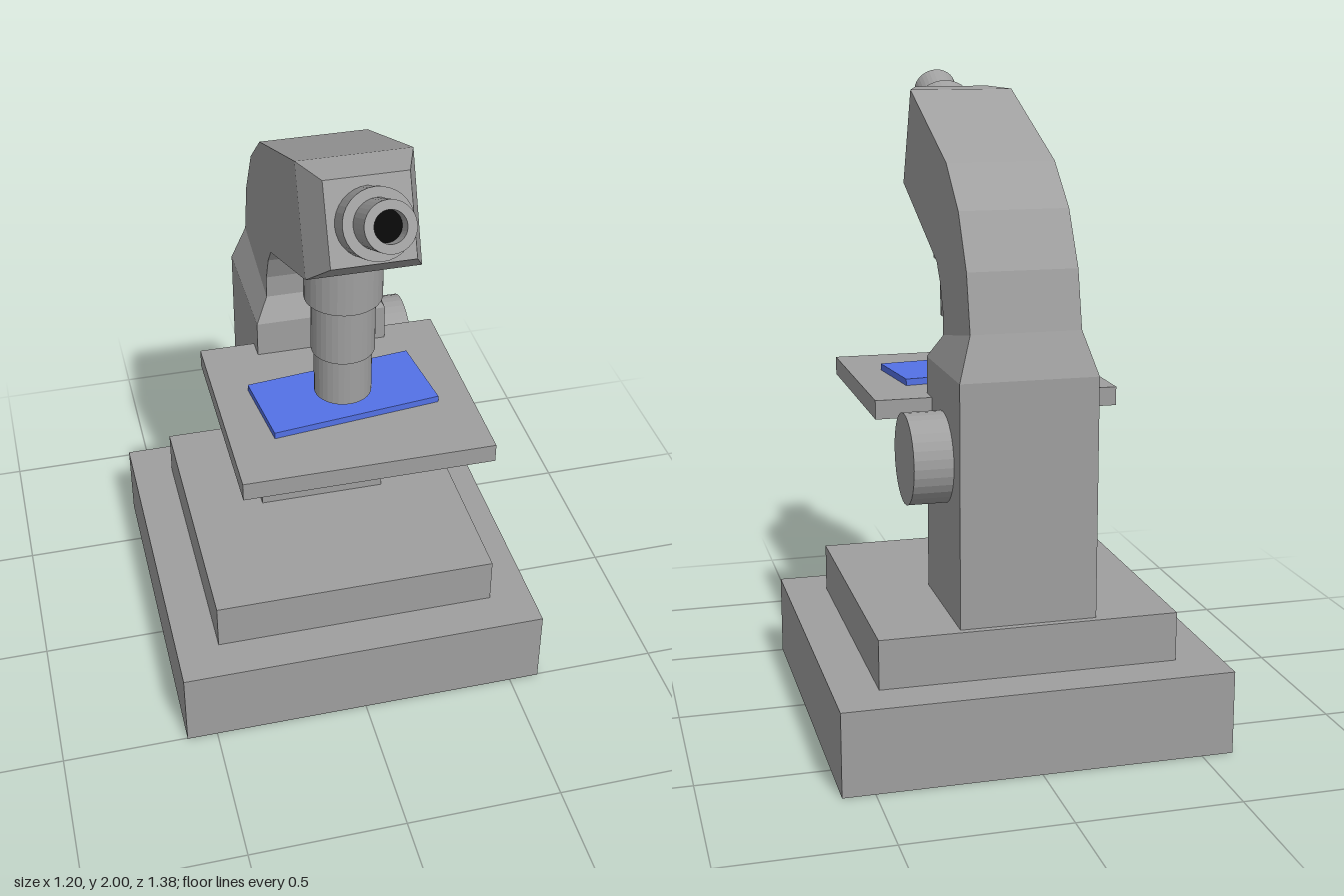
import * as THREE from 'three';

const grey = new THREE.MeshStandardMaterial({ color: 0x9f9f9f, flatShading: true });
const armGrey = new THREE.MeshStandardMaterial({ color: 0x9f9f9f });
const blue = new THREE.MeshStandardMaterial({ color: 0x5371e6, flatShading: true });
const black = new THREE.MeshStandardMaterial({ color: 0x080808 });

function add(parent, name, geometry, x, y, z, material = grey) {
  const mesh = new THREE.Mesh(geometry, material);
  mesh.name = name;
  mesh.position.set(x, y, z);
  parent.add(mesh);
  return mesh;
}

// Box given by its width, its y range and its z range, centred on x = 0
function slab(parent, name, w, y0, y1, z0, z1) {
  return add(parent, name, new THREE.BoxGeometry(w, y1 - y0, z1 - z0), 0, (y0 + y1) / 2, (z0 + z1) / 2);
}

// Upright round tube between two heights
function tube(parent, name, r, y0, y1, z = 0) {
  return add(parent, name, new THREE.CylinderGeometry(r, r, y1 - y0, 32), 0, (y0 + y1) / 2, z);
}

// Rectangular sections [halfWidth, innerZ, innerY, outerZ, outerY] joined into a closed solid,
// with one even normal per four-sided face
function loft(sections) {
  const pos = [];
  const normals = [];
  const quad = (a, b, c, d) => {
    const n = c.clone().sub(a).cross(d.clone().sub(b)).normalize();
    for (const p of [a, b, c, a, c, d]) {
      pos.push(p.x, p.y, p.z);
      normals.push(n.x, n.y, n.z);
    }
  };
  const rings = sections.map(([w, iz, iy, oz, oy]) => [
    new THREE.Vector3(w, iy, iz), new THREE.Vector3(w, oy, oz),
    new THREE.Vector3(-w, oy, oz), new THREE.Vector3(-w, iy, iz),
  ]);
  for (let i = 0; i < rings.length - 1; i++) {
    for (let j = 0; j < 4; j++) {
      const k = (j + 1) % 4;
      quad(rings[i][j], rings[i][k], rings[i + 1][k], rings[i + 1][j]);
    }
  }
  quad(...rings[0].slice().reverse());
  quad(...rings[rings.length - 1]);
  const geometry = new THREE.BufferGeometry();
  geometry.setAttribute('position', new THREE.Float32BufferAttribute(pos, 3));
  geometry.setAttribute('normal', new THREE.Float32BufferAttribute(normals, 3));
  return geometry;
}

export function createModel() {
  const model = new THREE.Group();
  model.name = 'microscope';

  // Stepped foot
  slab(model, 'base', 1.196, 0, 0.26, -0.69, 0.503);
  slab(model, 'baseStep', 0.92, 0.26, 0.413, -0.555, 0.366);

  // Column, curved arm and tapered head in one sweep
  add(model, 'arm', loft([
    [0.21, -0.113, 0.413, -0.533, 0.413],
    [0.21, -0.113, 1.153, -0.533, 1.153],
    [0.168, -0.157, 1.225, -0.49, 1.285],
    [0.168, -0.153, 1.3, -0.448, 1.46],
    [0.168, -0.117, 1.385, -0.353, 1.625],
    [0.168, -0.075, 1.44, -0.205, 1.752],
    [0.168, 0.4, 1.637, 0.28, 1.945],
    [0.122, 0.505, 1.727, 0.41, 1.95],
  ]), 0, 0, 0, armGrey);

  // Tilted eyepiece: sleeve and hollow tube, origin at the viewing end
  const eyepiece = new THREE.Group();
  eyepiece.name = 'eyepiece';
  eyepiece.position.set(0, 1.934, 0.657);
  eyepiece.rotation.x = THREE.MathUtils.degToRad(63);
  model.add(eyepiece);
  tube(eyepiece, 'eyepieceSleeve', 0.1, -0.32, -0.126);
  const profile = [[0, -0.25], [0.071, -0.25], [0.071, 0], [0.045, 0], [0.045, -0.06], [0, -0.06]];
  add(eyepiece, 'eyepieceTube',
    new THREE.LatheGeometry(profile.map(([r, y]) => new THREE.Vector2(r, y)), 32), 0, 0, 0);
  // Dark lens recessed in the tube
  const lens = add(eyepiece, 'eyepieceLens', new THREE.CircleGeometry(0.045, 32), 0, -0.056, 0, black);
  lens.rotation.x = -Math.PI / 2;

  // Objective, narrowing in three steps
  const objective = new THREE.Group();
  objective.name = 'objective';
  model.add(objective);
  tube(objective, 'objectiveUpper', 0.119, 1.415, 1.65, 0.165);
  tube(objective, 'objectiveMiddle', 0.098, 1.227, 1.415, 0.165);
  tube(objective, 'objectiveLower', 0.089, 1.07, 1.227, 0.165);

  // Stage with a slide lying slightly askew
  slab(model, 'stage', 0.772, 0.978, 1.037, -0.178, 0.514);
  const slide = add(model, 'slide', new THREE.BoxGeometry(0.533, 0.021, 0.26), 0, 1.0475, 0.166, blue);
  slide.rotation.y = 0.115;

  // Focus knob on the left side of the column
  const knob = add(model, 'focusKnob', new THREE.CylinderGeometry(0.139, 0.139, 0.14, 32), 0.259, 0.888, -0.323);
  knob.rotation.z = Math.PI / 2;

  return model;
}
